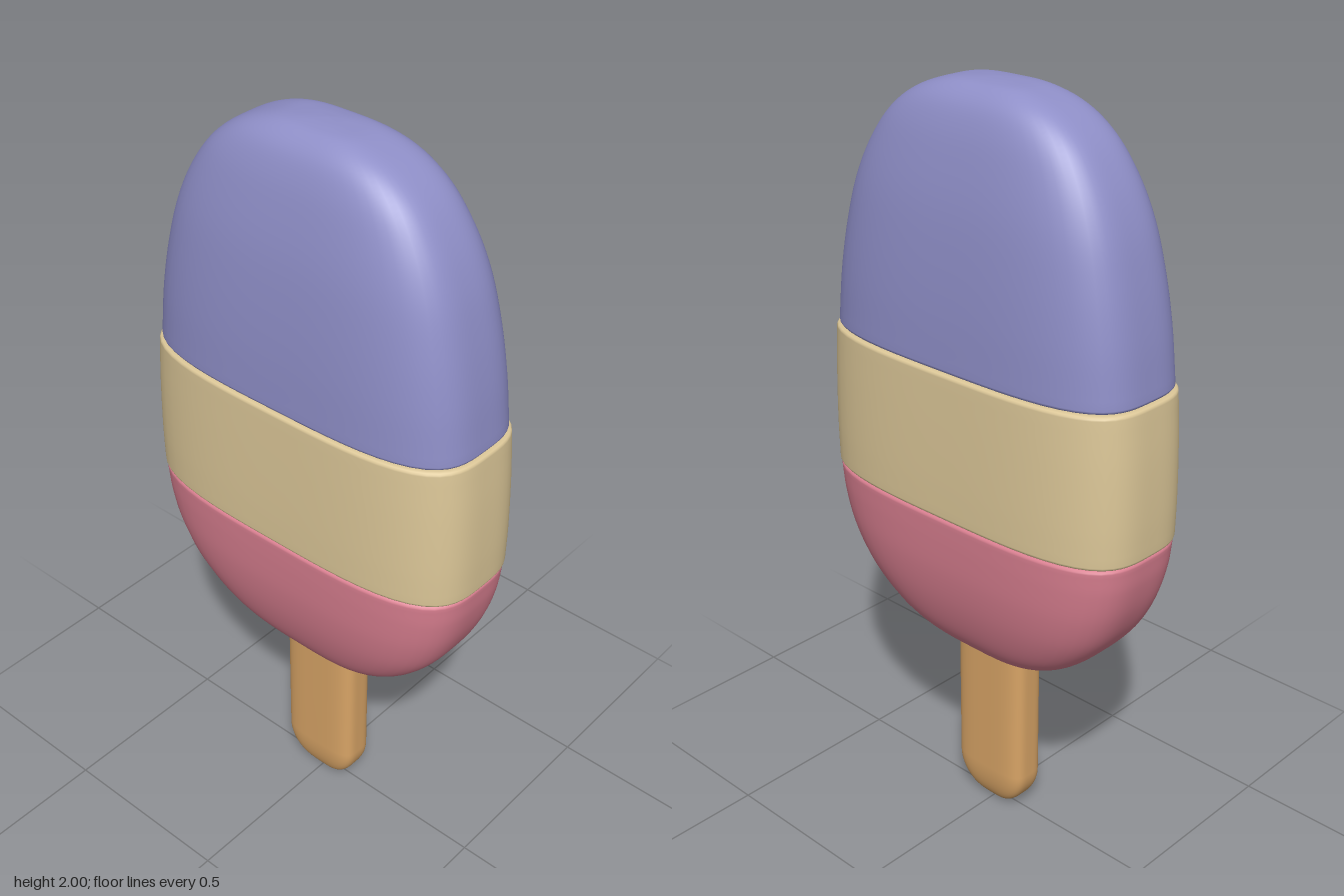
import * as THREE from 'three';
import { mergeVertices } from 'three/addons/utils/BufferGeometryUtils.js';

const SEGMENTS = 72;

// Loft of rounded-rectangle sections; each row is (half width, y, half depth), bottom to top
function loft(rows, power) {
  const positions = [], index = [];
  rows.forEach(({ x, y, z }) => {
    for (let j = 0; j < SEGMENTS; j++) {
      const a = (j / SEGMENTS) * Math.PI * 2, c = Math.cos(a), s = Math.sin(a);
      const r = 1 / Math.pow(Math.abs(c) ** power + Math.abs(s) ** power, 1 / power);
      positions.push(c * r * x, y, s * r * z);
    }
  });
  for (let i = 0; i < rows.length - 1; i++) {
    for (let j = 0; j < SEGMENTS; j++) {
      const k = (j + 1) % SEGMENTS;
      const a = i * SEGMENTS + j, b = i * SEGMENTS + k;
      index.push(a, a + SEGMENTS, b, b, a + SEGMENTS, b + SEGMENTS);
    }
  }
  let geometry = new THREE.BufferGeometry();
  geometry.setAttribute('position', new THREE.Float32BufferAttribute(positions, 3));
  geometry.setIndex(index);
  geometry = mergeVertices(geometry, 1e-5);
  geometry.computeVertexNormals();
  return geometry;
}

// Smooth rows through a few profile points
function smoothRows(points, count) {
  const curve = new THREE.CatmullRomCurve3(points.map((p) => new THREE.Vector3(...p)), false, 'centripetal');
  return curve.getPoints(count);
}

// Small rounded lip and closing cap at a flat cut; side is +1 for an upper cut, -1 for a lower one
function lip(row, side) {
  const r = 0.01;
  const rows = [0.4, 0.75, 1].map((t) => {
    const inset = r * (1 - Math.sqrt(1 - t * t));
    return new THREE.Vector3(row.x - inset, row.y + side * r * t, row.z - inset);
  });
  rows.push(new THREE.Vector3(row.x - 0.03, row.y + side * r, row.z - 0.03));
  rows.push(new THREE.Vector3(0, row.y + side * r, 0));
  return side > 0 ? rows : rows.reverse();
}

export function createModel() {
  const group = new THREE.Group();
  const material = (name, color) => new THREE.MeshStandardMaterial({ name, color });
  const add = (name, rows, power, mat) => {
    const mesh = new THREE.Mesh(loft(rows, power), mat);
    mesh.name = name;
    group.add(mesh);
  };

  // Bottom layer with a rounded base
  const bottom = smoothRows([
    [0, 0.5, 0], [0.1, 0.504, 0.06], [0.18, 0.52, 0.095], [0.26, 0.552, 0.125], [0.335, 0.605, 0.152],
    [0.41, 0.69, 0.179], [0.455, 0.78, 0.196], [0.48, 0.87, 0.204], [0.488, 0.935, 0.207],
  ], 48);
  add('bottomLayer', [...bottom, ...lip(bottom.at(-1), 1)], 3.4, material('pink ice', 0xd97f90));

  // Middle band
  const middle = smoothRows([
    [0.493, 0.955, 0.208], [0.494, 1.05, 0.209], [0.49, 1.2, 0.208], [0.482, 1.325, 0.206],
  ], 12);
  add('middleLayer', [...lip(middle[0], -1), ...middle, ...lip(middle.at(-1), 1)], 3.4, material('cream ice', 0xdcc798));

  // Domed top layer
  const top = smoothRows([
    [0.474, 1.345, 0.2], [0.458, 1.48, 0.196], [0.433, 1.61, 0.187], [0.4, 1.725, 0.174], [0.355, 1.82, 0.156],
    [0.295, 1.9, 0.135], [0.22, 1.955, 0.11], [0.13, 1.988, 0.073], [0.06, 1.997, 0.038], [0, 2, 0],
  ], 54);
  add('topLayer', [...lip(top[0], -1), ...top], 3.4, material('violet ice', 0x8f8fc8));

  // Wooden stick with a rounded lower end
  const stick = [];
  for (let i = 0; i <= 18; i++) {
    const a = (i / 18) * Math.PI / 2, s = Math.sin(a);
    stick.push(new THREE.Vector3(0.117 * Math.pow(s, 0.95), 0.12 * (1 - Math.cos(a)), 0.056 * Math.pow(s, 0.75)));
  }
  stick.push(new THREE.Vector3(0.117, 0.3, 0.056), new THREE.Vector3(0.117, 0.56, 0.056));
  add('stick', stick, 4, material('wood', 0xd8a466));

  return group;
}
